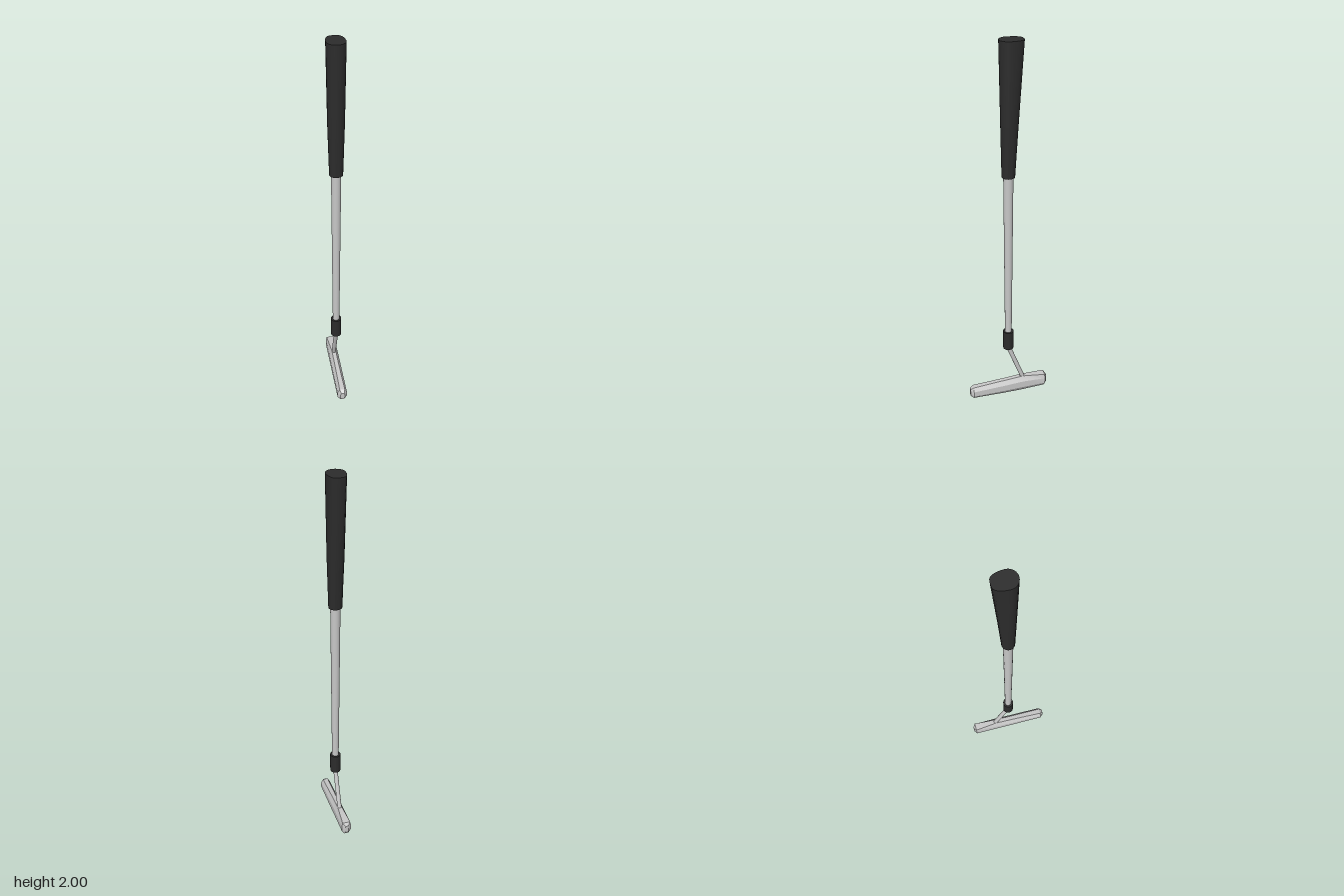
import * as THREE from 'three';
import { toCreasedNormals } from 'three/addons/utils/BufferGeometryUtils.js';

// Skins a closed solid over rings of points; each ring runs anticlockwise seen from the first end.
function loft(rings, crease) {
  const n = rings[0].length, last = (rings.length - 1) * n, index = [];
  for (let i = 0; i < rings.length - 1; i++) {
    for (let j = 0; j < n; j++) {
      const a = i * n + j, b = i * n + (j + 1) % n;
      index.push(a, a + n, b, b, a + n, b + n);
    }
  }
  for (let j = 1; j < n - 1; j++) {
    index.push(0, j, j + 1, last, last + j + 1, last + j);
  }
  const geometry = new THREE.BufferGeometry();
  geometry.setAttribute('position', new THREE.Float32BufferAttribute(rings.flat(2), 3));
  geometry.setIndex(index);
  return toCreasedNormals(geometry, crease);
}

// Grip section: round in front, fuller and deeper at the back.
function gripRing([y, halfWidth, front, back, power]) {
  const ring = [];
  for (let i = 0; i < 24; i++) {
    const a = (i / 24) * Math.PI * 2, c = Math.cos(a), s = Math.sin(a);
    const x = s > 0 ? Math.sign(c) * Math.abs(c) ** power : c;
    ring.push([x * halfWidth, y, -s * (s > 0 ? back : front)]);
  }
  return ring;
}

// Head section: an octagon with its own bottom, side and top widths.
function headRing([z, bottom, top, bottomHalf, sideHalf, topHalf]) {
  const h = top - bottom, low = bottom + h * 0.28, high = bottom + h * 0.7;
  return [
    [-bottomHalf, bottom, z], [bottomHalf, bottom, z],
    [sideHalf, low, z], [sideHalf, high, z],
    [topHalf, top, z], [-topHalf, top, z],
    [-sideHalf, high, z], [-sideHalf, low, z],
  ];
}

export function createModel() {
  const model = new THREE.Group();
  const steel = new THREE.MeshStandardMaterial({ name: 'steel', color: 0xc8c8c8 });
  const rubber = new THREE.MeshStandardMaterial({ name: 'black rubber', color: 0x2c2c2c });

  const add = (name, geometry, material) => {
    const mesh = new THREE.Mesh(geometry, material);
    mesh.name = name;
    model.add(mesh);
    return mesh;
  };

  // Grip: y, half width, front depth, back depth, fullness of the back
  add('grip', loft([
    [2, 0.046, 0.045, 0.073, 0.6],
    [1.6, 0.041, 0.038, 0.048, 0.75],
    [1.33, 0.034, 0.033, 0.033, 1],
  ].map(gripRing), 0.6), rubber);

  // Tapered shaft
  add('shaft', new THREE.CylinderGeometry(0.025, 0.018, 0.95, 20), steel).position.y = 0.875;

  // Collar joining shaft and neck
  add('collar', new THREE.CylinderGeometry(0.028, 0.028, 0.11, 20), rubber).position.y = 0.365;

  // Neck leaning back to the head
  const neckPath = new THREE.LineCurve3(
    new THREE.Vector3(0, 0.33, 0.006), new THREE.Vector3(0, 0.085, -0.085));
  add('neck', new THREE.TubeGeometry(neckPath, 1, 0.012, 12), steel);

  // Head: z, bottom, top, half widths of bottom, side and top
  add('head', loft([
    [0.217, 0.018, 0.06, 0.008, 0.012, 0.008],
    [0.2, 0.002, 0.073, 0.012, 0.026, 0.014],
    [0.02, 0.006, 0.092, 0.012, 0.026, 0.011],
    [-0.08, 0.011, 0.104, 0.012, 0.026, 0.011],
    [-0.205, 0.022, 0.1, 0.012, 0.026, 0.021],
    [-0.217, 0.04, 0.083, 0.006, 0.009, 0.007],
  ].map(headRing), 0.45), steel);

  return model;
}
